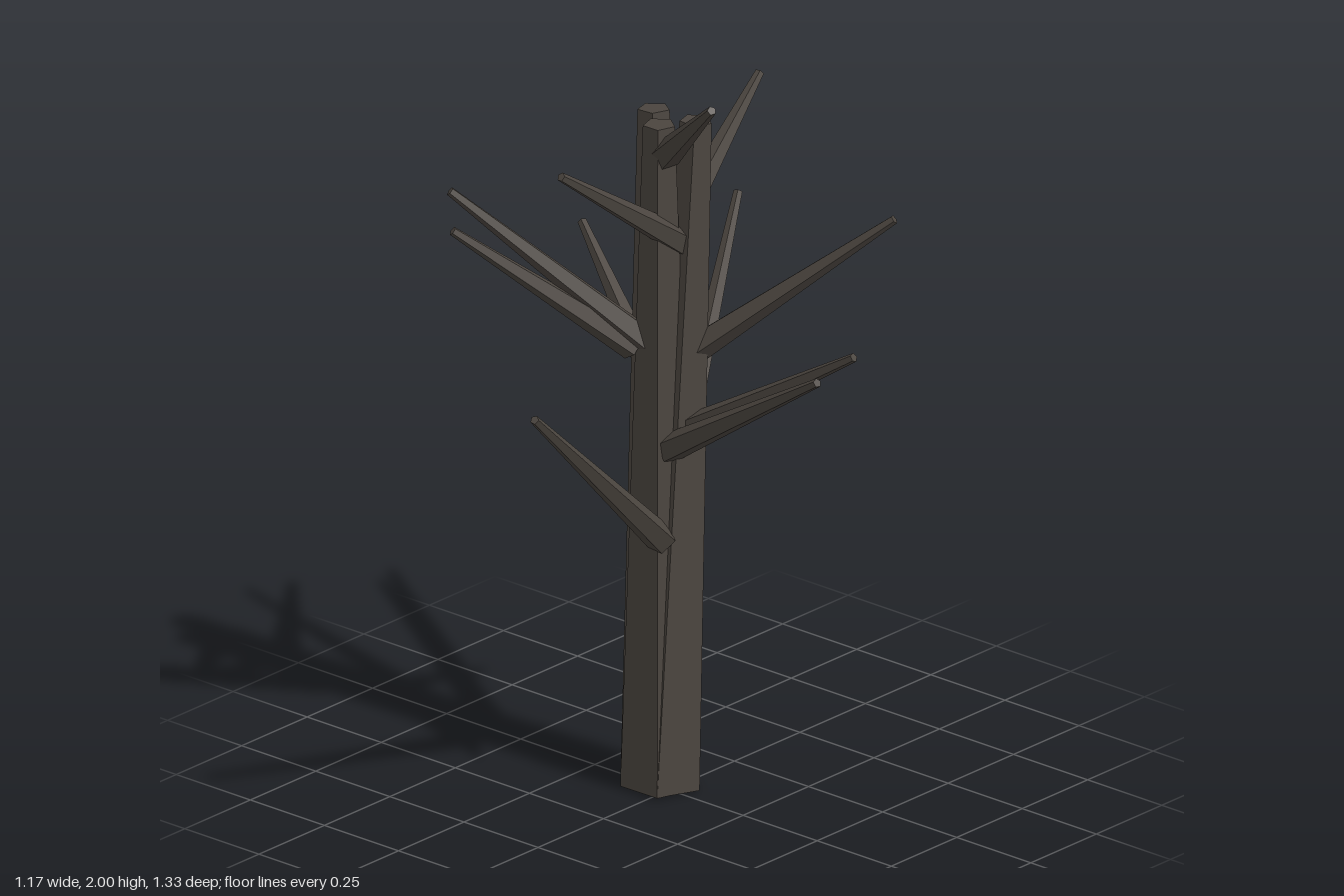
import * as THREE from 'three';

const UP = new THREE.Vector3(0, 1, 0);

export function createModel() {
  const bark = new THREE.MeshStandardMaterial({ color: 0x4b453f, flatShading: true });
  bark.name = 'dark bark';
  const tree = new THREE.Group();
  tree.name = 'bareTree';

  // Tapered five-sided limb running between two points
  function limb(name, from, to, baseRadius, tipRadius) {
    const start = new THREE.Vector3(...from);
    const direction = new THREE.Vector3(...to).sub(start);
    const length = direction.length();
    const geometry = new THREE.CylinderGeometry(tipRadius, baseRadius, length, 5);
    geometry.rotateY(Math.PI);
    geometry.translate(0, length / 2, 0);
    const mesh = new THREE.Mesh(geometry, bark);
    mesh.name = name;
    mesh.position.copy(start);
    mesh.quaternion.setFromUnitVectors(UP, direction.normalize());
    tree.add(mesh);
  }

  // Three trunks fanning out of one foot
  const foot = [-0.035, 0.01, -0.01];
  [[-0.05, 1.81, -0.02], [-0.13, 1.81, -0.09], [0.003, 1.81, -0.1]]
    .forEach((top, i) => limb(`trunk${i + 1}`, foot, top, 0.106, 0.043));

  // Branches: base point, tip point
  const branches = [
    [[0.0, 0.7, 0.03], [0.125, 1.26, 0.655]],
    [[-0.1, 0.68, -0.09], [-0.525, 1.11, -0.59]],
    [[-0.08, 0.7, -0.085], [-0.35, 1.34, -0.66]],
    [[-0.07, 0.97, -0.09], [-0.58, 1.3, -0.325]],
    [[0.0, 0.97, -0.05], [0.54, 1.31, -0.095]],
    [[0.0, 0.94, 0.0], [0.58, 1.31, 0.09]],
    [[0.0, 1.18, -0.08], [0.46, 1.59, -0.34]],
    [[-0.07, 1.21, 0.0], [-0.425, 1.64, 0.355]],
    [[-0.1, 1.2, 0.02], [-0.39, 1.55, 0.385]],
    [[-0.01, 1.48, -0.07], [-0.055, 1.78, 0.35]],
    [[-0.05, 1.49, -0.07], [-0.1, 1.8, -0.46]],
    [[-0.03, 1.73, -0.02], [0.275, 1.99, 0.148]],
  ];
  branches.forEach(([from, to], i) => limb(`branch${i + 1}`, from, to, 0.04, 0.012));

  return tree;
}
